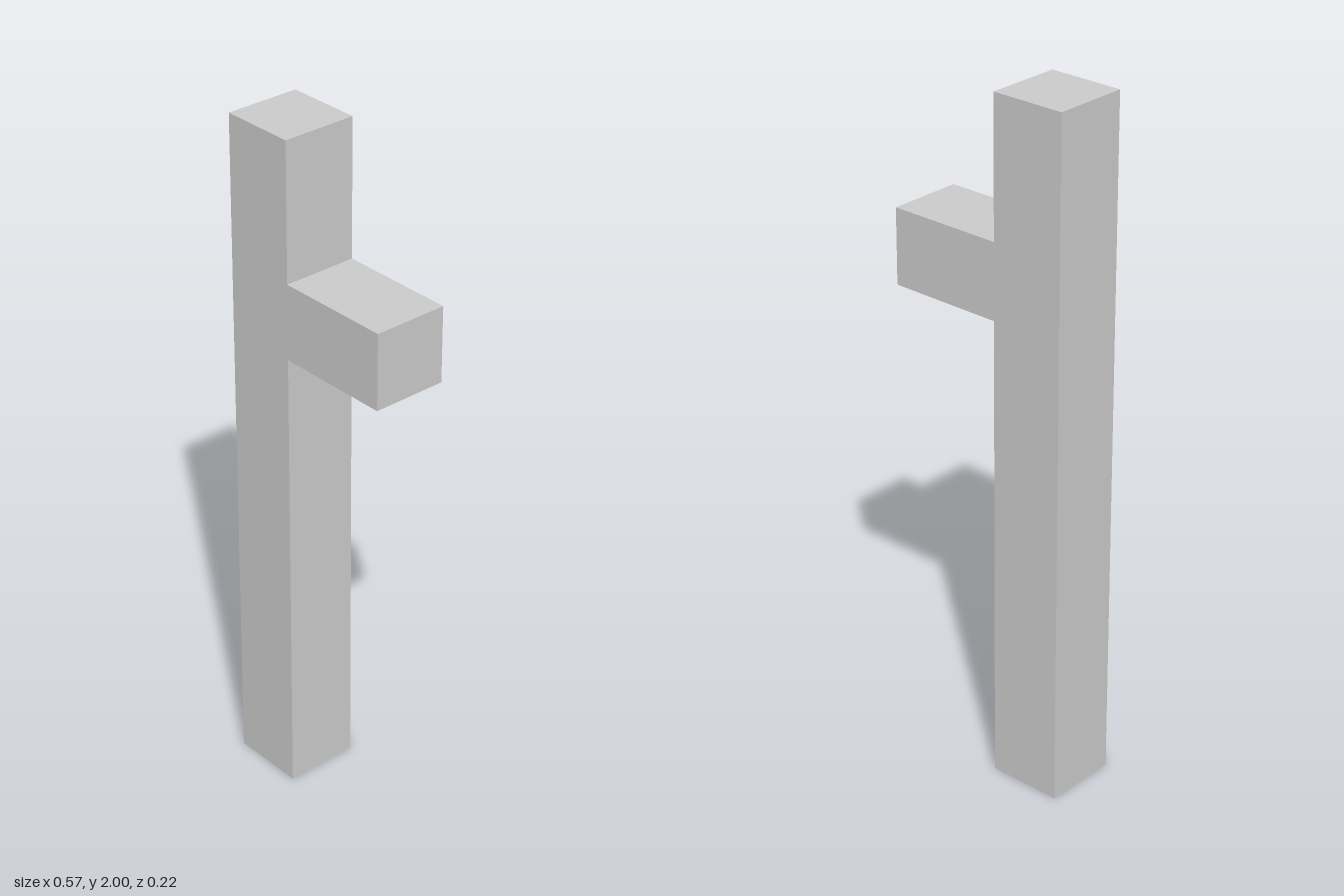
import * as THREE from 'three';

export function createModel() {
  const group = new THREE.Group();
  const material = new THREE.MeshStandardMaterial({ color: 0xcccccc, flatShading: true });

  const half = 0.283;   // half of the overall width
  const inner = -0.062; // side of the post that carries the arm
  const depth = 0.22;

  // Post and side arm as one continuous outline
  const outline = new THREE.Shape([
    [-half, 0], [inner, 0],
    [inner, 1.38], [half, 1.38], [half, 1.6], [inner, 1.6],
    [inner, 2], [-half, 2],
  ].map(([x, y]) => new THREE.Vector2(x, y)));

  const geometry = new THREE.ExtrudeGeometry(outline, { depth, bevelEnabled: false });
  geometry.translate(0, 0, -depth / 2);

  const post = new THREE.Mesh(geometry, material);
  post.name = 'postWithSideArm';
  group.add(post);
  return group;
}
